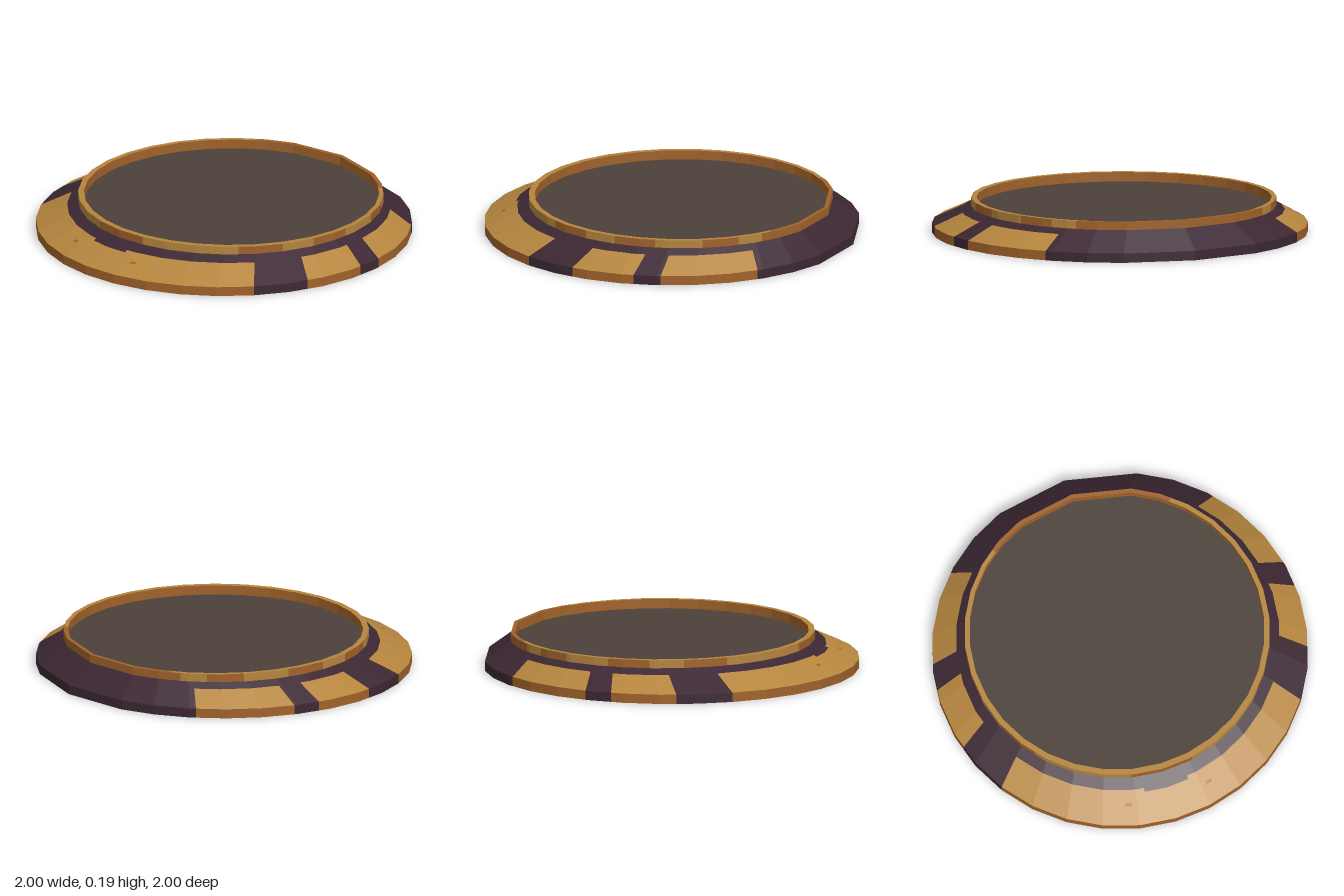
import * as THREE from 'three';

const flat = (name, color) => new THREE.MeshStandardMaterial({ name, color, flatShading: true, side: THREE.DoubleSide });

// Corner angles in degrees from the front (+z) towards +x; one corner is skipped each side of the back
const STEP = 11.25;
const corners = [];
for (let k = -16; k <= 16; k++) if (Math.abs(k) !== 15) corners.push(k * STEP);

// Rings: radius, height and z offset of each loop of the profile
const foot = { r: 1, y: 0, z: 0 };
const shoulder = { r: 1, y: 0.05, z: 0 };
const neck = { r: 0.8125, y: 0.152, z: -0.05 };
const rimOuter = { r: 0.8125, y: 0.195, z: -0.05 };
const rimInner = { r: 0.785, y: 0.195, z: -0.055 };
const well = { r: 0.785, y: 0.145, z: -0.055 };

const mix = (a, b, t) => ({ r: a.r + (b.r - a.r) * t, y: a.y + (b.y - a.y) * t, z: a.z + (b.z - a.z) * t });
const lift = (ring, dy) => ({ ...ring, y: ring.y + dy });

// Point on a ring's polygon at any angle
function pointAt(ring, deg) {
  let i = 0;
  while (i < corners.length - 2 && corners[i + 1] < deg) i++;
  const at = (d) => {
    const a = THREE.MathUtils.degToRad(d);
    return new THREE.Vector3(Math.sin(a) * ring.r, ring.y, Math.cos(a) * ring.r + ring.z);
  };
  const t = (deg - corners[i]) / (corners[i + 1] - corners[i]);
  return at(corners[i]).lerp(at(corners[i + 1]), t);
}

// Faceted strip between two rings, from one angle to another
function strip(lower, upper, from, to) {
  const stops = [from, ...corners.filter((c) => c > from + 0.01 && c < to - 0.01), to];
  const pos = [];
  for (let i = 0; i < stops.length - 1; i++) {
    const a = pointAt(lower, stops[i]), b = pointAt(lower, stops[i + 1]);
    const c = pointAt(upper, stops[i + 1]), d = pointAt(upper, stops[i]);
    for (const p of [a, b, c, a, c, d]) pos.push(p.x, p.y, p.z);
  }
  const g = new THREE.BufferGeometry();
  g.setAttribute('position', new THREE.Float32BufferAttribute(pos, 3));
  g.computeVertexNormals();
  return g;
}

export function createModel() {
  const model = new THREE.Group();
  model.name = 'roundBase';
  const gold = flat('gold', 0xb5853e);
  const bronze = flat('bronze', 0xa0622a);
  const purple = flat('darkPurple', 0x3c2733);
  const grey = flat('warmGrey', 0x4d413a);

  const add = (name, geometry, material) => {
    const mesh = new THREE.Mesh(geometry, material);
    mesh.name = name;
    model.add(mesh);
  };
  // Strip on the left and its mirror on the right
  const pair = (name, lower, upper, from, to, material) => {
    add(name + 'Left', strip(lower, upper, from, to), material);
    add(name + 'Right', strip(lower, upper, -to, -from), material);
  };

  // Foot wall and sloped skirt: gold panels separated by dark gaps
  const sectors = [
    [0, 8, 0.66], [8, 56.25, 0.74], [56.25, 73.7, 0], [73.7, 94, 0.74],
    [94, 102.4, 0], [102.4, 133, 0.74], [133, 180, 0],
  ];
  for (const [from, to, t] of sectors) {
    pair('footWall', foot, shoulder, from, to, t ? bronze : purple);
    const edge = mix(shoulder, neck, t);
    if (t) pair('skirtPanel', shoulder, edge, from, to, gold);
    pair('skirtBorder', edge, neck, from, to, purple);
  }
  // Small specks on the front panel
  pair('speck', lift(mix(shoulder, neck, 0.39), 0.002), lift(mix(shoulder, neck, 0.46), 0.002), 13, 15.2, bronze);

  // Raised rim with worn bronze patches
  const rimPatches = [
    [0, 12, bronze], [12, 50, gold], [50, 67, bronze], [67, 80, gold],
    [80, 96, bronze], [96, 114, gold], [114, 128, bronze], [128, 138, gold], [138, 180, bronze],
  ];
  for (const [from, to, material] of rimPatches) pair('rimOuterWall', neck, rimOuter, from, to, material);
  pair('rimTop', rimOuter, rimInner, 0, 142, gold);
  pair('rimTopBack', rimOuter, rimInner, 142, 180, bronze);
  pair('rimInnerWall', rimInner, well, 0, 180, bronze);

  // Recessed flat top
  const outline = corners.slice(1).map((c) => {
    const p = pointAt(well, c);
    return new THREE.Vector2(p.x, -p.z);
  });
  add('topPlate', new THREE.ShapeGeometry(new THREE.Shape(outline)).rotateX(-Math.PI / 2).translate(0, well.y, 0), grey);

  return model;
}
